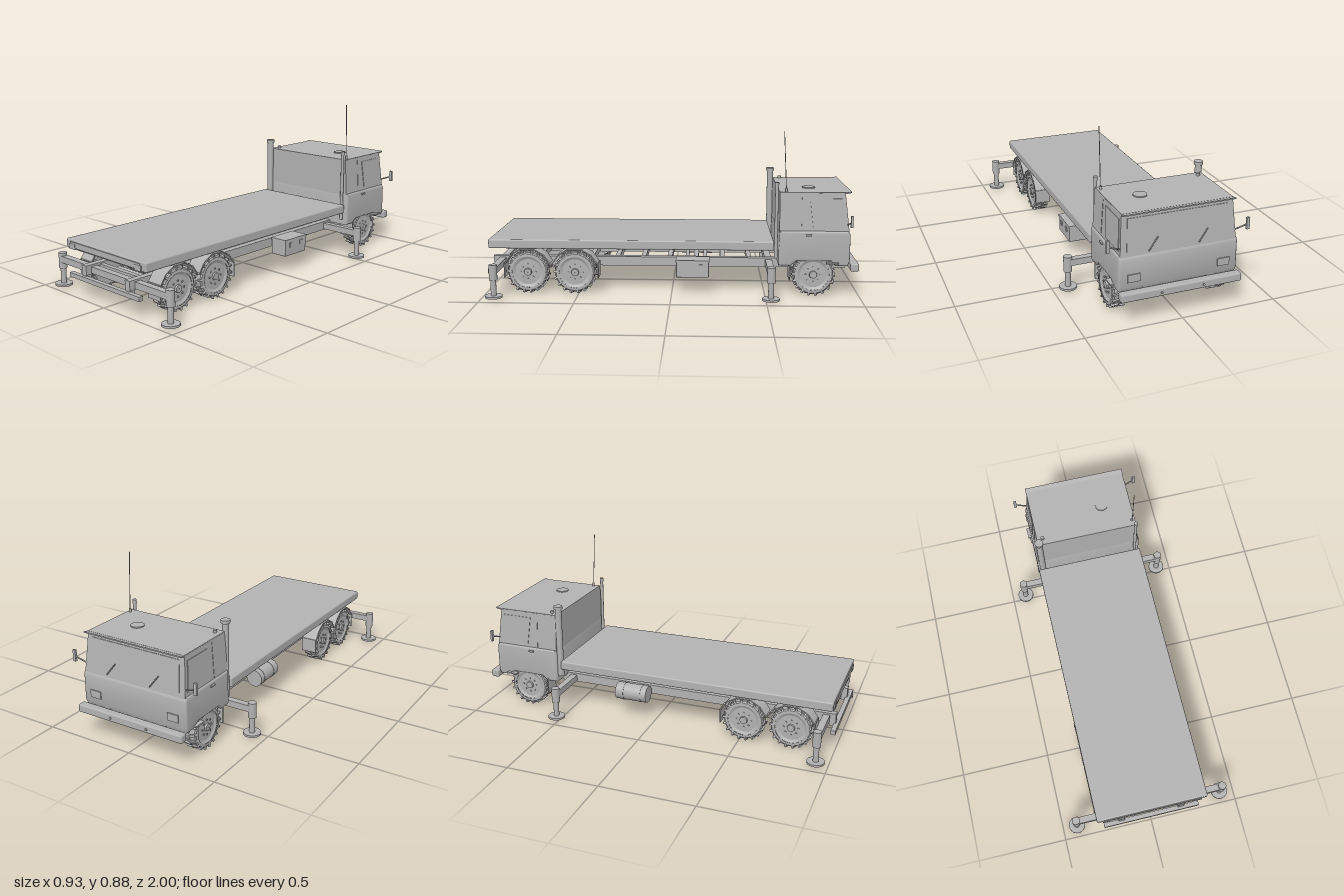
import * as THREE from 'three';
import { RoundedBoxGeometry } from 'three/addons/geometries/RoundedBoxGeometry.js';
import { toCreasedNormals } from 'three/addons/utils/BufferGeometryUtils.js';

export function createModel() {
  const truck = new THREE.Group();
  truck.name = 'flatbedTruck';
  const grey = new THREE.MeshStandardMaterial({ color: 0xb2b2b2, side: THREE.DoubleSide });
  grey.name = 'plain grey';

  const add = (name, geo, parent = truck) => {
    const m = new THREE.Mesh(geo, grey);
    m.name = name;
    parent.add(m);
    return m;
  };
  // Box given by its lower and upper limits on each axis
  const boxGeo = (x0, x1, y0, y1, z0, z1, r = 0) => {
    const size = [x1 - x0, y1 - y0, z1 - z0];
    const g = r ? new RoundedBoxGeometry(...size, 2, r) : new THREE.BoxGeometry(...size);
    return g.translate((x0 + x1) / 2, (y0 + y1) / 2, (z0 + z1) / 2);
  };
  const box = (name, ...a) => add(name, boxGeo(...a));
  // Rod between two points
  const rod = (name, a, b, r, seg = 12, parent = truck) => {
    const p = new THREE.Vector3(...a), q = new THREE.Vector3(...b);
    const m = add(name, new THREE.CylinderGeometry(r, r, p.distanceTo(q), seg), parent);
    m.position.copy(p).add(q).multiplyScalar(0.5);
    m.quaternion.setFromUnitVectors(new THREE.Vector3(0, 1, 0), q.sub(p).normalize());
    return m;
  };
  // Side outline of [z, y] points, extruded from x0 to x1
  const sideExtrude = (points, x0, x1, bevel = 0) => {
    const shape = new THREE.Shape(points.map(([z, y]) => new THREE.Vector2(-z, y)));
    const g = new THREE.ExtrudeGeometry(shape, {
      depth: x1 - x0 - 2 * bevel, bevelEnabled: bevel > 0, bevelSize: bevel,
      bevelThickness: bevel, bevelOffset: -bevel, bevelSegments: 3,
    });
    return toCreasedNormals(g.translate(0, 0, x0 + bevel).rotateY(Math.PI / 2), 0.6);
  };

  // Load bed
  box('bed', -0.31, 0.31, 0.245, 0.295, -0.545, 0.985, 0.008);
  box('bedRearStrip', -0.27, 0.27, 0.255, 0.285, 0.982, 0.99);
  for (const s of [-1, 1]) box('rearLamp', s * 0.255 - 0.023, s * 0.255 + 0.023, 0.247, 0.275, 0.983, 0.991);

  // Chassis ladder
  for (const s of [-1, 1]) {
    box('chassisRail', s * 0.17 - 0.018, s * 0.17 + 0.018, 0.128, 0.178, -0.94, 0.985);
    box('underrunBracket', s * 0.17 - 0.012, s * 0.17 + 0.012, 0.105, 0.14, 0.95, 0.985);
  }
  for (let i = 0; i < 10; i++) {
    const z = -0.42 + i * 0.145;
    box('crossMember', -0.16, 0.16, 0.135, 0.17, z - 0.013, z + 0.013);
  }
  box('underrunBar', -0.272, 0.272, 0.1, 0.123, 0.975, 1.0);

  // Outriggers with telescopic legs and round feet
  for (const z of [-0.525, 0.935]) {
    box('outriggerBeam', -0.41, 0.41, 0.133, 0.168, z - 0.018, z + 0.018);
    for (const s of [-1, 1]) {
      const x = s * 0.42;
      rod('outriggerSleeve', [x, 0.1, z], [x, 0.183, z], 0.022, 16);
      rod('outriggerLeg', [x, 0.012, z], [x, 0.12, z], 0.015, 16);
      rod('outriggerFoot', [x, 0.006, z], [x, 0.017, z], 0.046, 24);
    }
  }

  // Wheel: turned tyre and dished rim, slanted tread lugs, bolts
  const tyreProfile = [[0.085, -0.037], [0.1, -0.036], [0.107, -0.03], [0.107, 0.03], [0.1, 0.036], [0.085, 0.037]];
  const rimProfile = [[0.001, 0.038], [0.019, 0.038], [0.021, 0.029], [0.07, 0.027], [0.085, 0.035], [0.085, -0.037], [0.001, -0.03]];
  const lathe = (pts) => toCreasedNormals(
    new THREE.LatheGeometry(pts.map(p => new THREE.Vector2(...p)), 32).rotateZ(-Math.PI / 2), 0.5);
  const tyreGeo = lathe(tyreProfile), rimGeo = lathe(rimProfile);
  const wheel = (side, z) => {
    const w = new THREE.Group();
    w.name = 'wheel';
    add('tyre', tyreGeo, w);
    add('rim', rimGeo, w);
    for (let i = 0; i < 36; i++) {
      const half = i % 2 ? 1 : -1;
      const g = new THREE.BoxGeometry(0.038, 0.018, 0.011).rotateY(half * 0.3);
      g.translate(half * 0.019, 0.106, 0).rotateX(i * Math.PI / 18);
      add('treadLug', g, w);
    }
    for (let i = 0; i < 8; i++) {
      const a = i * Math.PI / 4;
      rod('wheelBolt', [0.025, 0.04 * Math.cos(a), 0.04 * Math.sin(a)],
        [0.033, 0.04 * Math.cos(a), 0.04 * Math.sin(a)], 0.005, 6, w);
    }
    w.position.set(side * 0.268, 0.115, z);
    if (side < 0) w.rotation.y = Math.PI;
    truck.add(w);
  };
  for (const z of [-0.755, 0.52, 0.775]) {
    rod('axle', [-0.25, 0.115, z], [0.25, 0.115, z], 0.016);
    wheel(1, z);
    wheel(-1, z);
  }

  // Angular rear mudguards and hanging flaps
  const arc = [-1.2, -0.75, -0.3, 0.3, 0.75, 1.2];
  for (const s of [-1, 1]) {
    for (const zc of [0.52, 0.775]) {
      const at = (r) => (a) => [zc + r * Math.sin(a), 0.115 + r * Math.cos(a)];
      const outline = [...arc.map(at(0.133)), ...arc.slice().reverse().map(at(0.127))];
      const x = s > 0 ? 0.222 : -0.312;
      add('mudguard', sideExtrude(outline, x, x + 0.09));
    }
    for (const [z, y] of [[0.9, 0.165], [0.395, 0.165], [-0.63, 0.18]])
      box('mudFlap', s * 0.267 - 0.045, s * 0.267 + 0.045, 0.085, y, z - 0.003, z + 0.003);
  }

  // Storage box and fuel tank slung beside the rails
  box('storageBox', 0.2, 0.3, 0.092, 0.178, -0.2, -0.025, 0.004);
  box('storageBoxLid', 0.198, 0.302, 0.176, 0.186, -0.203, -0.022);
  for (const z of [-0.155, -0.07]) box('boxLatch', 0.298, 0.305, 0.14, 0.165, z - 0.01, z + 0.01);
  rod('fuelTank', [-0.25, 0.15, -0.22], [-0.25, 0.15, -0.04], 0.047, 28);
  for (const z of [-0.18, -0.08]) {
    rod('tankStrap', [-0.25, 0.15, z - 0.007], [-0.25, 0.15, z + 0.007], 0.049, 28);
    box('sideBracket', -0.25, 0.25, 0.142, 0.158, z - 0.01, z + 0.01);
  }

  // Lower cab with wheel openings
  add('lowerCab', sideExtrude([
    [-0.57, 0.165], [-0.635, 0.165], [-0.665, 0.19], [-0.845, 0.19], [-0.87, 0.165],
    [-0.935, 0.165], [-0.946, 0.19], [-0.946, 0.335], [-0.935, 0.353], [-0.575, 0.353], [-0.57, 0.335],
  ], -0.311, 0.311, 0.012));

  // Upper cab: sides, windscreen and glass all lean inward by one rule
  const lean = (g) => {
    const p = g.attributes.position;
    for (let i = 0; i < p.count; i++) {
      const t = (p.getY(i) - 0.345) / 0.21, z = p.getZ(i);
      p.setX(i, p.getX(i) * (1 - 0.045 * t));
      if (z < -0.75) p.setZ(i, z + 0.025 * t);
    }
    g.computeVertexNormals();
    return g;
  };
  add('upperCab', lean(boxGeo(-0.302, 0.302, 0.345, 0.553, -0.94, -0.572)));
  add('windscreen', lean(boxGeo(-0.27, 0.27, 0.37, 0.53, -0.943, -0.937)));
  for (const s of [-1, 1]) {
    add('sideWindow', lean(boxGeo(s * 0.303 - 0.002, s * 0.303 + 0.002, 0.37, 0.525, -0.92, -0.752)));
    add('doorWindowEdge', lean(boxGeo(s * 0.303 - 0.001, s * 0.303 + 0.001, 0.355, 0.54, -0.692, -0.688)));
    box('doorHandle', s * 0.314 - 0.006, s * 0.314 + 0.006, 0.328, 0.336, -0.74, -0.71);
    box('cabStep', s * 0.3 - 0.028, s * 0.3 + 0.028, 0.178, 0.186, -0.885, -0.82);
    box('headlamp', s * 0.235 - 0.032, s * 0.235 + 0.032, 0.215, 0.255, -0.951, -0.943);
    rod('wiper', [s * 0.13 + 0.03, 0.36, -0.945], [s * 0.13 - 0.02, 0.425, -0.938], 0.003, 6);
    // Door mirror on its arm
    rod('mirrorArm', [s * 0.3, 0.388, -0.93], [s * 0.36, 0.41, -0.94], 0.004, 8);
    box('mirror', s * 0.364 - 0.008, s * 0.364 + 0.008, 0.384, 0.446, -0.947, -0.935);
  }
  box('roof', -0.288, 0.288, 0.549, 0.557, -0.92, -0.572);
  const visor = box('sunVisor', -0.29, 0.29, -0.003, 0.003, -0.018, 0.018);
  visor.position.set(0, 0.555, -0.93);
  visor.rotation.x = 0.2;

  // Front bumper
  box('frontBumper', -0.315, 0.315, 0.137, 0.18, -0.995, -0.95, 0.008);
  for (const x of [-0.11, 0.11]) rod('bumperPin', [x, 0.158, -1.0], [x, 0.158, -0.985], 0.006, 8);

  // Roof fittings and antenna
  rod('roofHatch', [0.12, 0.55, -0.74], [0.12, 0.563, -0.74], 0.035, 28);
  rod('roofLamp', [-0.255, 0.55, -0.61], [-0.255, 0.57, -0.61], 0.01);
  rod('antennaBase', [0.27, 0.55, -0.607], [0.27, 0.575, -0.606], 0.007);
  rod('antenna', [0.272, 0.555, -0.607], [0.272, 0.877, -0.59], 0.002, 6);

  // Air intake and exhaust stacks behind the cab
  rod('intakeStack', [-0.283, 0.2, -0.558], [-0.283, 0.6, -0.558], 0.018, 20);
  rod('intakeCap', [-0.283, 0.596, -0.558], [-0.283, 0.613, -0.558], 0.024, 20);
  rod('exhaustStack', [0.28, 0.2, -0.556], [0.28, 0.6, -0.556], 0.009, 16);
  rod('exhaustCap', [0.28, 0.588, -0.556], [0.28, 0.608, -0.556], 0.011, 16);

  return truck;
}
